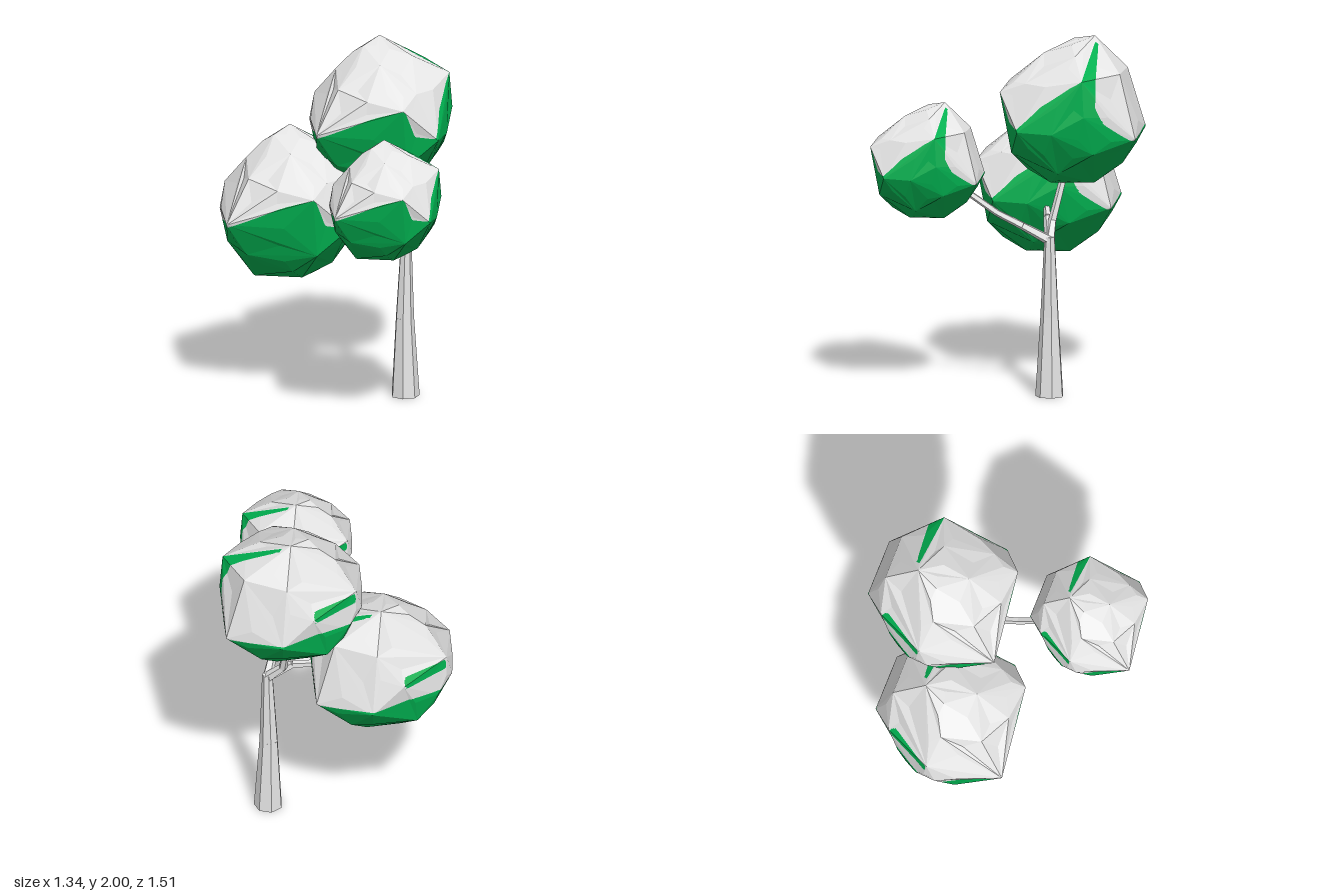
import * as THREE from 'three';
import { ConvexGeometry } from 'three/addons/geometries/ConvexGeometry.js';

const green = new THREE.MeshStandardMaterial({ color: 0x00b050, flatShading: true });
green.name = 'leafGreen';
const grey = new THREE.MeshStandardMaterial({ color: 0xe4e4e4, flatShading: true });
grey.name = 'paleGrey';

// Corners of the faceted crown, about its own centre
const CROWN = [
  // top
  [-0.03, 0.42, -0.12], [-0.1, 0.39, 0], [0.17, 0.34, -0.02], [0.02, 0.33, 0.16],
  // upper ring
  [0.37, 0.24, -0.07], [0.2, 0.25, -0.27], [-0.25, 0.26, 0.02], [-0.05, 0.24, -0.3],
  [-0.02, 0.17, 0.35], [-0.2, 0.2, 0.24], [0.24, 0.2, 0.25],
  // middle
  [-0.05, -0.09, -0.4], [-0.2, 0.05, -0.29], [-0.38, 0.1, -0.03], [-0.4, -0.04, 0.02],
  [-0.35, -0.11, -0.1], [-0.3, -0.03, 0.38], [0.19, 0.14, 0.395], [0.37, -0.05, 0.29],
  [0.385, -0.06, 0.1], [0.385, 0.04, -0.08], [0.28, -0.1, -0.36],
  // lower
  [0.33, -0.18, -0.13], [-0.2, -0.41, 0.06], [0.05, -0.395, -0.12], [0.24, -0.31, 0.07],
  [0.05, -0.32, 0.25], [-0.2, -0.22, 0.3], [-0.25, -0.25, -0.18], [0.1, -0.27, -0.28],
  [0.2, -0.2, 0.33], [0.08, -0.39, 0.12], [-0.34, -0.2, 0.12],
].map((p) => new THREE.Vector3(...p));

// Lower edge of the pale cap: [degrees from +x towards +z, height]
const CAP_EDGE = [
  [-180, -0.1], [-135, -0.06], [-90, -0.08], [-50, -0.11], [-28, 0], [-11, 0.24], [0, 0.2],
  [25, 0.09], [40, -0.04], [54, -0.02], [63, 0.14], [90, 0.08], [115, 0], [129, -0.05], [180, -0.1],
];

// Positive on the cap, negative on the leaves
function capSide(v) {
  const angle = THREE.MathUtils.radToDeg(Math.atan2(v.z, v.x));
  const i = Math.max(1, CAP_EDGE.findIndex((e) => e[0] >= angle));
  const [a, b] = [CAP_EDGE[i - 1], CAP_EDGE[i]];
  const edge = THREE.MathUtils.mapLinear(angle, a[0], b[0], a[1], b[1]);
  // Green cleft widening down the left shoulder
  const cleft = Math.max(Math.abs(v.z + 0.135 - 0.08 * v.x) - 0.008 - 0.08 * v.x, 0.01 - v.x);
  // Short green slit round the back right
  const slit = Math.max(Math.abs(v.y - 0.06) - 0.03, Math.abs(angle + 150) * 0.007 - 0.17);
  return Math.min(v.y - edge, cleft, slit);
}

function seeded(seed) {
  return () => {
    seed = (seed * 16807) % 2147483647;
    return seed / 2147483647;
  };
}

// Add the part of a triangle on one side of the cap edge
function clipInto(out, tri, sign) {
  const poly = [];
  tri.forEach((p, k) => {
    const q = tri[(k + 1) % 3];
    const fp = capSide(p) * sign, fq = capSide(q) * sign;
    if (fp >= 0) poly.push(p);
    if (fp * fq < 0) poly.push(p.clone().lerp(q, fp / (fp - fq)));
  });
  for (let k = 2; k < poly.length; k++) out.push(poly[0], poly[k - 1], poly[k]);
}

function splitFace(a, b, c, depth, cap, leaves) {
  if (depth === 0) {
    clipInto(cap, [a, b, c], 1);
    clipInto(leaves, [a, b, c], -1);
    return;
  }
  const ab = a.clone().lerp(b, 0.5), bc = b.clone().lerp(c, 0.5), ca = c.clone().lerp(a, 0.5);
  for (const t of [[a, ab, ca], [ab, b, bc], [ca, bc, c], [ab, bc, ca]]) {
    splitFace(...t, depth - 1, cap, leaves);
  }
}

function flatMesh(points, material, name) {
  const geometry = new THREE.BufferGeometry().setFromPoints(points);
  geometry.computeVertexNormals();
  const mesh = new THREE.Mesh(geometry, material);
  mesh.name = name;
  return mesh;
}

// Crumpled hull, divided into pale cap and green leaves
function makeCrown() {
  const rand = seeded(41);
  const pos = new ConvexGeometry(CROWN).getAttribute('position');
  const cap = [], leaves = [];
  for (let i = 0; i < pos.count; i += 3) {
    const [a, b, c] = [0, 1, 2].map((k) => new THREE.Vector3().fromBufferAttribute(pos, i + k));
    const normal = new THREE.Triangle(a, b, c).getNormal(new THREE.Vector3());
    // Push each facet's inner point in or out a little
    const w = [0.2 + rand(), 0.2 + rand(), 0.2 + rand()];
    const sum = w[0] + w[1] + w[2];
    const mid = new THREE.Vector3();
    [a, b, c].forEach((v, k) => mid.addScaledVector(v, w[k] / sum));
    mid.addScaledVector(normal, (rand() - 0.5) * 0.03);
    for (const [p, q] of [[a, b], [b, c], [c, a]]) splitFace(p, q, mid, 3, cap, leaves);
  }
  const crown = new THREE.Group();
  crown.add(flatMesh(cap, grey, 'crownCap'), flatMesh(leaves, green, 'crownLeaves'));
  return crown;
}

// Tapered limb through [x, y, z, radius] stations
function makeLimb(name, stations, sides) {
  const limb = new THREE.Group();
  limb.name = name;
  for (let i = 0; i + 1 < stations.length; i++) {
    const [s, e] = [stations[i], stations[i + 1]];
    const a = new THREE.Vector3(s[0], s[1], s[2]);
    const b = new THREE.Vector3(e[0], e[1], e[2]);
    const dir = b.clone().sub(a);
    const piece = new THREE.Mesh(new THREE.CylinderGeometry(e[3], s[3], dir.length(), sides), grey);
    piece.name = name + 'Section';
    piece.position.copy(a).add(b).multiplyScalar(0.5);
    piece.quaternion.setFromUnitVectors(new THREE.Vector3(0, 1, 0), dir.normalize());
    limb.add(piece);
  }
  return limb;
}

export function createModel() {
  const tree = new THREE.Group();
  tree.name = 'tree';

  // Trunk and its three branches
  tree.add(
    makeLimb('trunk', [[0.355, 0, -0.23, 0.08], [0.352, 0.45, -0.23, 0.052], [0.36, 0.9, -0.23, 0.03]], 7),
    makeLimb('frontBranch', [[0.36, 0.88, -0.23, 0.03], [0.36, 0.96, -0.08, 0.023], [0.357, 1.03, 0.06, 0.02], [0.357, 1.2, 0.3, 0.018]], 5),
    makeLimb('rightBranch', [[0.36, 0.88, -0.23, 0.03], [0.22, 0.98, -0.21, 0.023], [0.1, 1, -0.2, 0.02], [-0.02, 1.01, -0.19, 0.018]], 5),
    makeLimb('backBranch', [[0.36, 0.88, -0.23, 0.03], [0.27, 0.97, -0.24, 0.024], [0.22, 1.25, -0.31, 0.02]], 5),
  );

  // Three crowns of the same shape
  const crown = makeCrown();
  for (const [name, position, scale] of [
    ['backCrown', [0.2, 1.58, -0.35], 1],
    ['rightCrown', [-0.275, 1.09, -0.19], 1],
    ['frontCrown', [0.36, 1.318, 0.445], 0.785],
  ]) {
    const copy = crown.clone();
    copy.name = name;
    copy.position.set(...position);
    copy.scale.setScalar(scale);
    tree.add(copy);
  }
  return tree;
}
